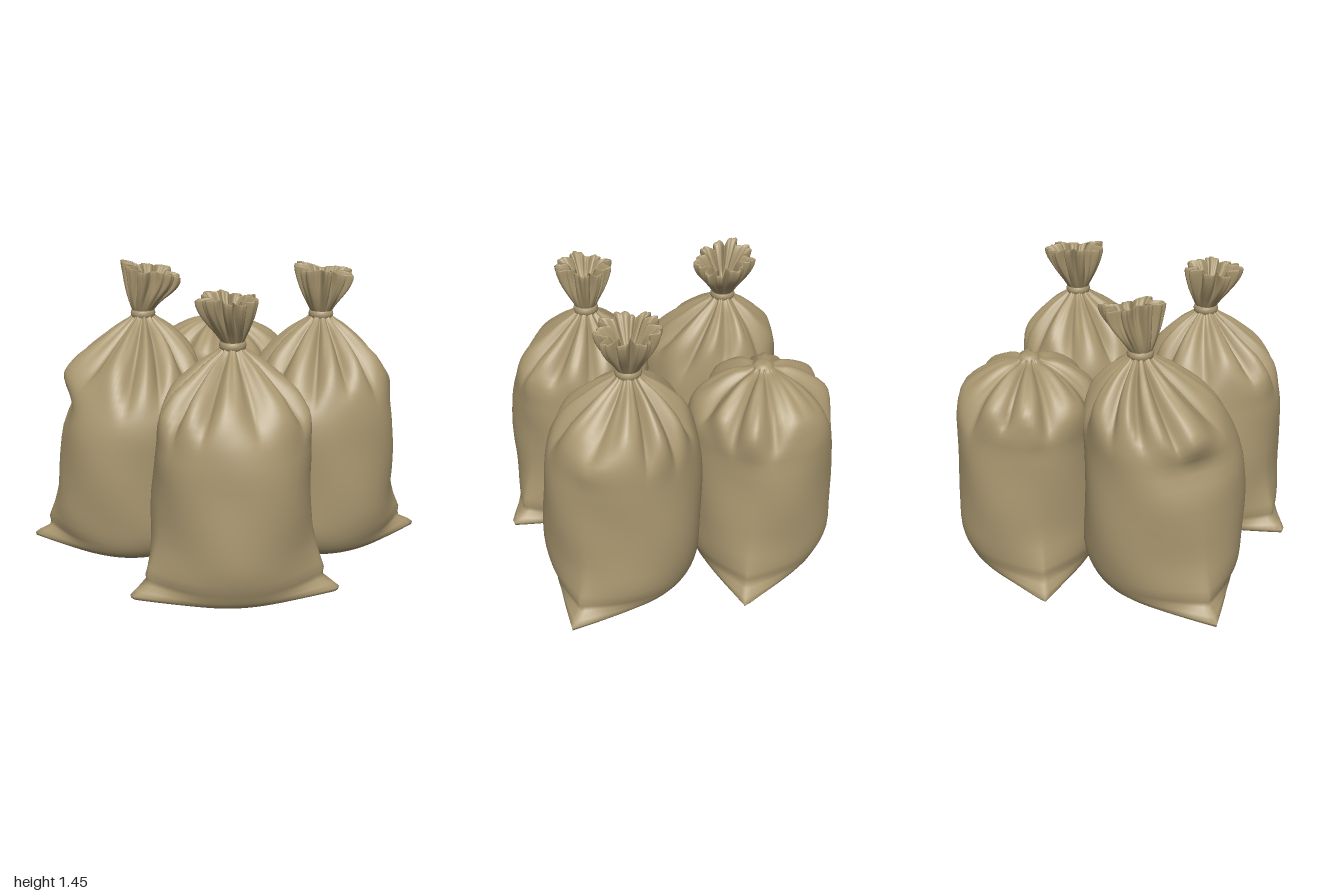
import * as THREE from 'three';

const SEGMENTS = 132;

// Profiles from the centre of the base upwards: [radius, height]
const BODY = [[0, 0.01], [0.12, 0.002], [0.22, 0], [0.285, 0.015], [0.338, 0.07], [0.367, 0.15], [0.381, 0.3], [0.377, 0.55], [0.364, 0.72]];
const TIED_TOP = [[0.338, 0.83], [0.292, 0.92], [0.23, 1], [0.16, 1.07], [0.1, 1.12], [0.06, 1.155], [0.05, 1.175],
  [0.066, 1.21], [0.095, 1.27], [0.115, 1.33], [0.124, 1.395], [0.11, 1.39], [0.07, 1.33], [0.03, 1.27], [0, 1.25]];
const DOMED_TOP = [[0.35, 0.82], [0.3, 0.92], [0.21, 1], [0.125, 1.045], [0.06, 1.062], [0.047, 1.078], [0.03, 1.09], [0, 1.092]];

// How far the side seams and the flat bottom corners stick out at each height: [height, reach]
const SEAM = [[0, 0.22], [0.03, 0.24], [0.055, 0.19], [0.085, 0.1], [0.13, 0.095], [0.2, 0.055], [0.3, 0.018],
  [0.6, 0], [0.75, 0.005], [0.88, 0.045], [0.97, 0.035], [1.08, 0]];

function seamReach(y) {
  for (let i = 1; i < SEAM.length; i++) {
    const [y0, r0] = SEAM[i - 1], [y1, r1] = SEAM[i];
    if (y <= y1) return THREE.MathUtils.lerp(r0, r1, (y - y0) / (y1 - y0));
  }
  return 0;
}

const { smoothstep } = THREE.MathUtils;

// Rounded pleats with sharp valleys, unevenly spaced around the sack
const pleat = (t, count, seed) => Math.abs(Math.sin(count / 2 * t + 0.6 * Math.sin(2 * t + seed) + 0.4 * Math.sin(3 * t - seed))) - 0.6;

function sackGeometry({ tied, corners, girth, tall, lean, tuftLean = [0, 0], tilt = 0, waist = 0, seed }) {
  const profile = [...BODY, ...(tied ? TIED_TOP : DOMED_TOP)];
  const rows = new THREE.CatmullRomCurve3(profile.map(([r, y]) => new THREE.Vector3(r, y, 0))).getPoints(profile.length * 3);
  const neck = tied ? 1.17 : 1.07;
  const positions = [], index = [];

  rows.forEach((row, i) => {
    const r0 = Math.max(row.x, 0), y0 = Math.max(row.y, 0);
    const shift = smoothstep(y0, 0.65, neck);
    const tuft = tied ? smoothstep(y0, neck, 1.38) : 0;
    const below = y0 < neck;
    const fine = smoothstep(y0, 0.9, neck - 0.04) * (below ? 1 : 0);
    const body = smoothstep(y0, 0.05, 0.25) * (1 - smoothstep(y0, 0.85, 1));
    const dip = waist * Math.exp(-(((y0 - 0.74) / 0.09) ** 2));
    for (let j = 0; j < SEGMENTS; j++) {
      const t = j / SEGMENTS * Math.PI * 2;
      let r = r0 * girth, y = y0;
      // side seams and pointed bottom corners, with a dip under the shoulder
      for (const c of corners) {
        const d = Math.abs(Math.atan2(Math.sin(t - c), Math.cos(t - c)));
        const spread = 0.38 + 0.12 * smoothstep(y0, 0.08, 0.3);
        r += seamReach(y0) * Math.exp(-d / spread) * Math.min(1, (r0 / 0.25) ** 2);
        r -= dip * Math.exp(-((d / 0.5) ** 2));
      }
      // soft dents in the body
      r += body * (0.006 * Math.sin(3 * t + 7 * y + seed) + 0.004 * Math.sin(5 * t - 11 * y + 2 * seed));
      // gathered folds running to the neck, each starting at its own height
      const start = 0.77 + 0.06 * Math.sin(4 * t + seed);
      const gather = below ? smoothstep(y0, start, neck - 0.1) : 0;
      const wide = pleat(t, tied ? 10 : 8, seed), narrow = pleat(t, 23, seed + 1);
      r *= 1 + gather * 0.18 * wide + fine * 0.09 * narrow;
      y += Math.sin(gather * Math.PI * 0.8) * 0.05 * wide * smoothstep(r0, 0.04, 0.15);
      // ruffled tuft above the tie
      if (tied && !below) {
        r *= 1 + tuft * 0.45 * pleat(t, 9, seed + 2) + tuft * 0.15 * narrow;
        y += tuft * (0.01 * Math.sin(3 * t + seed) - tilt * (0.05 + r * Math.cos(t) * 2));
      }
      positions.push(
        r * Math.cos(t) + lean[0] * shift + tuftLean[0] * tuft,
        y * tall,
        r * Math.sin(t) + lean[1] * shift + tuftLean[1] * tuft);
      if (i < rows.length - 1) {
        const a = i * SEGMENTS + j, b = i * SEGMENTS + (j + 1) % SEGMENTS;
        index.push(a, a + SEGMENTS, b, b, a + SEGMENTS, b + SEGMENTS);
      }
    }
  });
  const geometry = new THREE.BufferGeometry();
  geometry.setAttribute('position', new THREE.Float32BufferAttribute(positions, 3));
  geometry.setIndex(index);
  geometry.computeVertexNormals();
  return geometry;
}

export function createModel() {
  const model = new THREE.Group();
  model.name = 'sacks';
  const burlap = new THREE.MeshStandardMaterial({ color: 0xa8966f });
  burlap.name = 'burlap';
  burlap.side = THREE.DoubleSide;

  const sacks = [
    { name: 'frontSack', at: [-0.015, 0.505], tied: true, corners: [0.35, Math.PI - 0.35], girth: 0.97, tall: 0.99,
      lean: [0.005, -0.055], tuftLean: [-0.025, 0.02], seed: 1.3 },
    { name: 'leftSack', at: [0.465, 0.015], tied: true, corners: [0], girth: 1.01, tall: 1.01,
      lean: [0.015, -0.055], tuftLean: [0.01, -0.01], tilt: 0.06, seed: 2.9 },
    { name: 'rightSack', at: [-0.465, -0.025], tied: true, corners: [Math.PI], girth: 1.01, tall: 1.01,
      lean: [0.055, -0.1], tuftLean: [0.045, -0.02], tilt: 0.12, waist: 0.055, seed: 4.6 },
    { name: 'backSack', at: [0.01, -0.515], tied: false, corners: [-0.29, Math.PI + 0.29], girth: 0.96, tall: 1,
      lean: [-0.01, 0.01], seed: 5.7 },
  ];

  for (const s of sacks) {
    const sack = new THREE.Group();
    sack.name = s.name;
    sack.position.set(s.at[0], 0, s.at[1]);
    const cloth = new THREE.Mesh(sackGeometry(s), burlap);
    cloth.name = 'cloth';
    sack.add(cloth);
    if (s.tied) {
      // band wrapped round the neck
      const tie = new THREE.Mesh(new THREE.TorusGeometry(0.046, 0.016, 10, 32), burlap);
      tie.name = 'tie';
      tie.rotation.x = Math.PI / 2;
      tie.scale.z = 1.5;
      tie.position.set(s.lean[0], 1.172 * s.tall, s.lean[1]);
      sack.add(tie);
    }
    model.add(sack);
  }
  return model;
}
